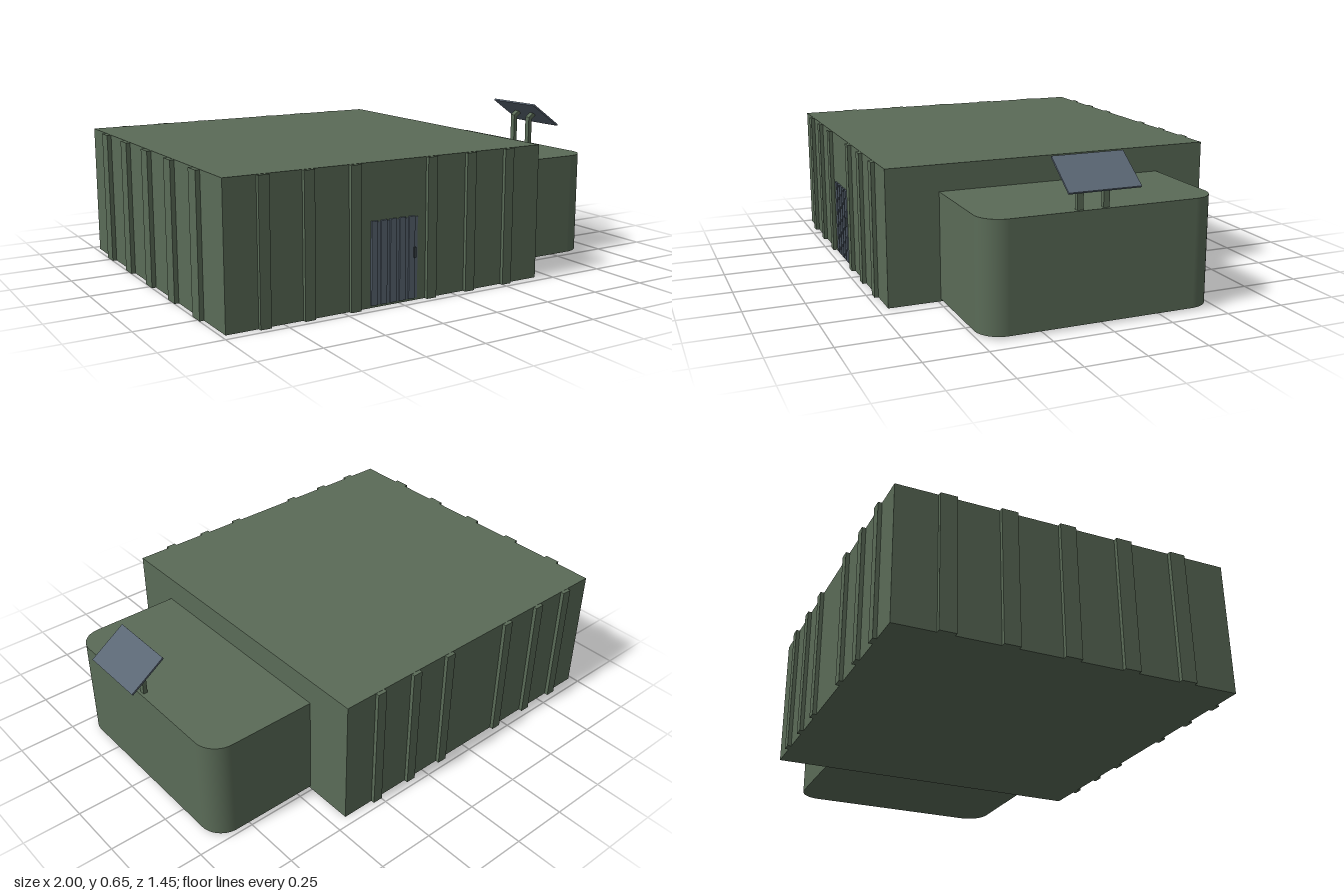
import * as THREE from 'three';

export function createModel() {
  const model = new THREE.Group();
  const green = new THREE.MeshStandardMaterial({ color: 0x5a6b57 });
  green.name = 'olive green';
  const blue = new THREE.MeshStandardMaterial({ color: 0x5a6673 });
  blue.name = 'slate blue';
  const dark = new THREE.MeshStandardMaterial({ color: 0x3a4348 });
  dark.name = 'dark grey';

  const add = (name, geometry, material, x = 0, y = 0, z = 0) => {
    const mesh = new THREE.Mesh(geometry, material);
    mesh.name = name;
    mesh.position.set(x, y, z);
    model.add(mesh);
    return mesh;
  };
  const box = (name, material, x0, x1, y0, y1, z0, z1) =>
    add(name, new THREE.BoxGeometry(x1 - x0, y1 - y0, z1 - z0), material,
      (x0 + x1) / 2, (y0 + y1) / 2, (z0 + z1) / 2);

  // Main hall
  const height = 0.565;
  box('mainHall', green, -0.982, 0.435, 0, height, -0.709, 0.709);

  // Wall ribs on the front and back
  for (const x of [-0.83, -0.648, -0.452, -0.107, 0.08, 0.27]) {
    box('frontRib', green, x - 0.022, x + 0.022, 0, height - 0.001, 0.7, 0.725);
    box('backRib', green, x - 0.022, x + 0.022, 0, height - 0.001, -0.725, -0.7);
  }
  // Wall ribs on the side
  for (let i = -2; i <= 2; i++) {
    const z = i * 0.247 - 0.01;
    box('sideRib', green, -1, -0.97, 0, height - 0.001, z - 0.034, z + 0.034);
  }

  // Lower annex with two rounded upright corners
  const r = 0.1, x0 = 0.43, x1 = 0.915, w = 0.489;
  const plan = new THREE.Shape();
  plan.moveTo(x0, -w);
  plan.lineTo(x1 - r, -w);
  plan.absarc(x1 - r, -w + r, r, -Math.PI / 2, 0);
  plan.lineTo(x1, w - r);
  plan.absarc(x1 - r, w - r, r, 0, Math.PI / 2);
  plan.lineTo(x0, w);
  plan.closePath();
  const annexGeo = new THREE.ExtrudeGeometry(plan, { depth: 0.445, bevelEnabled: false, curveSegments: 12 });
  annexGeo.rotateX(-Math.PI / 2);
  // Smooth normals around each rounded corner
  const p = annexGeo.attributes.position, n = annexGeo.attributes.normal;
  for (let i = 0; i < p.count; i++) {
    const dx = p.getX(i) - (x1 - r);
    const dz = Math.abs(p.getZ(i)) - (w - r);
    if (Math.abs(n.getY(i)) < 0.5 && dx > -1e-4 && dz > -1e-4) {
      const l = Math.hypot(dx, dz);
      n.setXYZ(i, dx / l, 0, Math.sign(p.getZ(i)) * dz / l);
    }
  }
  add('annex', annexGeo, green, 0, 0.01, 0);

  // Corrugated door: thin backing with raised slats
  box('doorBacking', blue, -0.38, -0.168, 0.01, 0.335, 0.706, 0.712);
  const slats = 5, pitch = 0.212 / slats;
  for (let i = 0; i < slats; i++) {
    const x = -0.38 + i * pitch;
    box('doorSlat', blue, x, x + pitch * 0.65, 0.01, 0.34, 0.708, 0.717);
  }
  box('doorHandle', dark, -0.19, -0.182, 0.175, 0.217, 0.71, 0.725);

  // Bent posts carrying the panel
  const bend = new THREE.Shape([
    [0.886, 0.45], [0.904, 0.45], [0.904, 0.572], [0.926, 0.588],
    [0.914, 0.604], [0.886, 0.582],
  ].map(([x, y]) => new THREE.Vector2(x, y)));
  for (const z of [0.102, -0.006]) {
    add('panelPost', new THREE.ExtrudeGeometry(bend, { depth: 0.025, bevelEnabled: false }),
      green, 0, 0, z - 0.0125);
  }

  // Tilted solar panel
  const panel = add('solarPanel', new THREE.BoxGeometry(0.184, 0.008, 0.295), blue, 0.921, 0.599, 0.048);
  panel.rotation.z = -0.61;

  return model;
}
